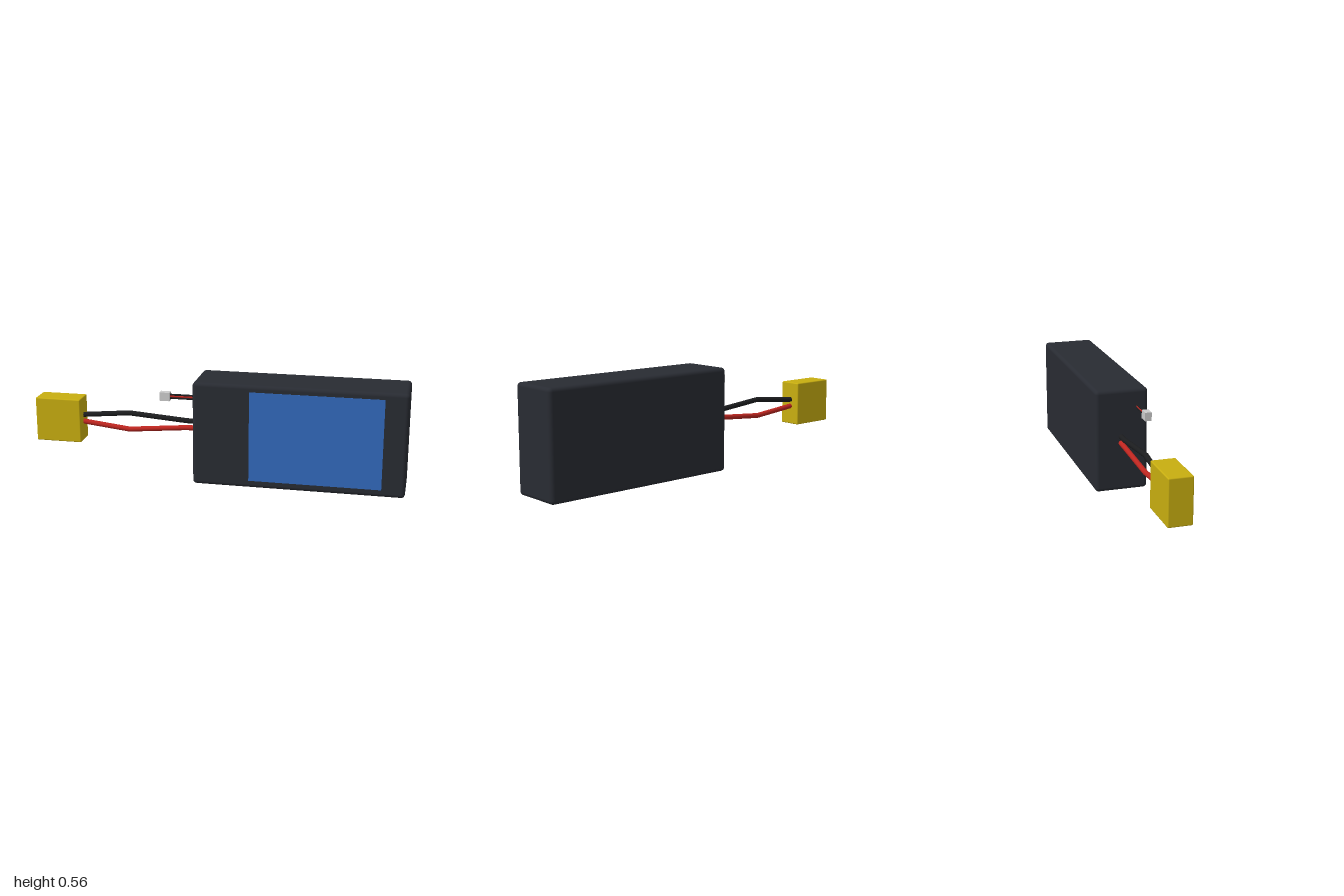
import * as THREE from 'three';
import { RoundedBoxGeometry } from 'three/addons/geometries/RoundedBoxGeometry.js';

const paint = (color) => new THREE.MeshStandardMaterial({ color });
const black = paint(0x1c1d1f);
const red = paint(0xbf2620);

// Box given by its minimum and maximum corners, with rounded edges when r > 0
function box(name, min, max, r, material) {
  const size = max.map((v, i) => v - min[i]);
  const geometry = r > 0 ? new RoundedBoxGeometry(...size, 3, r) : new THREE.BoxGeometry(...size);
  const mesh = new THREE.Mesh(geometry, material);
  mesh.position.set(...max.map((v, i) => (v + min[i]) / 2));
  mesh.name = name;
  return mesh;
}

// Wire of straight runs with rounded joints at its bends
function wire(name, points, radius, material) {
  const group = new THREE.Group();
  group.name = name;
  const path = points.map((p) => new THREE.Vector3(...p));
  for (let i = 0; i < path.length - 1; i++) {
    const run = new THREE.LineCurve3(path[i], path[i + 1]);
    group.add(new THREE.Mesh(new THREE.TubeGeometry(run, 1, radius, 12), material));
    if (i > 0) {
      const joint = new THREE.Mesh(new THREE.SphereGeometry(radius, 12, 8), material);
      joint.position.copy(path[i]);
      group.add(joint);
    }
  }
  return group;
}

export function createModel() {
  const model = new THREE.Group();
  model.name = 'batteryPack';

  // Pack with its front label
  model.add(box('packBody', [-0.11, 0, -0.142], [1, 0.555, 0.142], 0.02, paint(0x282b32)));
  model.add(box('frontLabel', [0.19, 0.04, 0.135], [0.88, 0.52, 0.144], 0, paint(0x3269bc)));

  // Power connector and its two bowed leads
  model.add(box('powerConnector', [-1, 0.16, -0.062], [-0.75, 0.4, 0.062], 0.006, paint(0xc8ae10)));
  for (const [name, side, material] of [['blackLead', 1, black], ['redLead', -1, red]]) {
    const y = (offset) => 0.282 + side * offset;
    model.add(wire(name, [
      [-0.76, y(0.018), -0.004],
      [-0.49, y(0.046), 0.004],
      [-0.18, y(0.02), -0.004],
      [-0.09, y(0.017), -0.004],
    ], 0.014, material));
  }

  // Small balance plug with three thin wires
  model.add(box('balancePlug', [-0.295, 0.435, 0.065], [-0.24, 0.48, 0.1], 0, paint(0xcccccc)));
  [black, red, black].forEach((material, i) => {
    const y = 0.449 + i * 0.009;
    model.add(wire('balanceWire' + (i + 1), [[-0.25, y, 0.083], [-0.09, y, 0.083]], 0.005, material));
  });

  return model;
}
